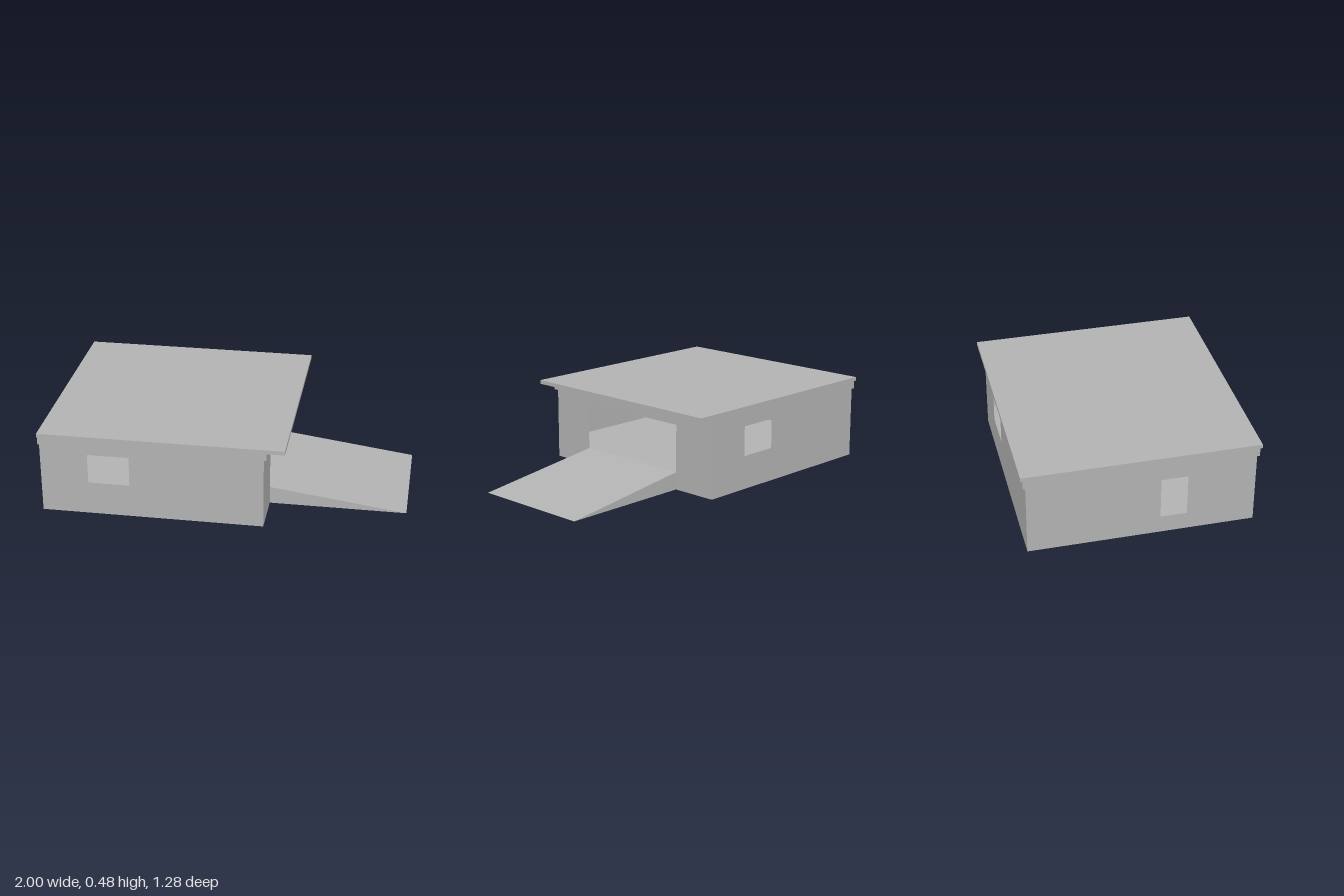
import * as THREE from 'three';

const X0 = -0.995, X1 = 0.238, ZW = 0.615, WALL_H = 0.41, FLOOR = 0.1, RAMP_Z = 0.35;

// closed loop of [u, v] points for a rectangle
const rect = (u0, u1, v0, v1) =>
  [[u0, v0], [u1, v0], [u1, v1], [u0, v1]].map(([u, v]) => new THREE.Vector2(u, v));

export function createModel() {
  const model = new THREE.Group();
  model.name = 'garage';
  const grey = new THREE.MeshStandardMaterial({ color: 0xb2b2b2, side: THREE.DoubleSide });
  grey.name = 'plainGrey';

  const add = (name, geometry) => {
    const mesh = new THREE.Mesh(geometry, grey);
    mesh.name = name;
    model.add(mesh);
    return mesh;
  };

  // flat sheet with an optional rectangular opening
  const sheet = (outline, hole) => {
    const shape = new THREE.Shape(outline);
    if (hole) shape.holes.push(new THREE.Path(hole));
    return new THREE.ShapeGeometry(shape);
  };

  const box = (name, x0, x1, y0, y1, halfZ) =>
    add(name, new THREE.BoxGeometry(x1 - x0, y1 - y0, halfZ * 2))
      .position.set((x0 + x1) / 2, (y0 + y1) / 2, 0);

  // long walls, each with one window; the back one is the front turned round
  const mid = (X0 + X1) / 2;
  for (const [name, turn] of [['frontWall', 0], ['backWall', Math.PI]]) {
    const geometry = sheet(rect(X0 - mid, X1 - mid, 0, WALL_H),
      rect(-0.73 - mid, -0.5 - mid, 0.19, 0.36));
    geometry.translate(0, 0, ZW).rotateY(turn).translate(mid, 0, 0);
    add(name, geometry);
  }

  // end wall with a doorway
  add('doorWall', sheet(rect(-ZW, ZW, 0, WALL_H), rect(0.1, 0.245, FLOOR, 0.34))
    .rotateY(-Math.PI / 2).translate(X0, 0, 0));

  // end wall with the wide entrance, open down to the ground
  const arch = [[-ZW, 0], [-RAMP_Z, 0], [-RAMP_Z, 0.37], [RAMP_Z, 0.37],
    [RAMP_Z, 0], [ZW, 0], [ZW, WALL_H], [-ZW, WALL_H]];
  add('entranceWall', sheet(arch.map(([u, v]) => new THREE.Vector2(u, v)))
    .rotateY(Math.PI / 2).translate(X1, 0, 0));

  // raised floor
  add('floor', sheet(rect(X0, X1, -ZW, ZW)).rotateX(-Math.PI / 2).translate(0, FLOOR, 0));

  // eaves band and overhanging roof slab
  box('eavesBand', -1, 0.253, WALL_H, 0.458, 0.628);
  box('roofSlab', -1, 0.353, 0.458, 0.48, 0.64);

  // ramp: sloping deck with two triangular sides, open underneath
  const run = 1 - X1;
  const deck = new THREE.PlaneGeometry(Math.hypot(run, FLOOR), RAMP_Z * 2);
  deck.rotateX(-Math.PI / 2).rotateZ(-Math.atan2(FLOOR, run));
  deck.translate((X1 + 1) / 2, FLOOR / 2, 0);
  add('rampDeck', deck);
  for (const [name, side] of [['rampFrontSide', 1], ['rampBackSide', -1]]) {
    const triangle = [[X1, 0], [1, 0], [X1, FLOOR]].map(([x, y]) => new THREE.Vector2(x, y));
    add(name, sheet(triangle).translate(0, 0, side * RAMP_Z));
  }

  return model;
}
